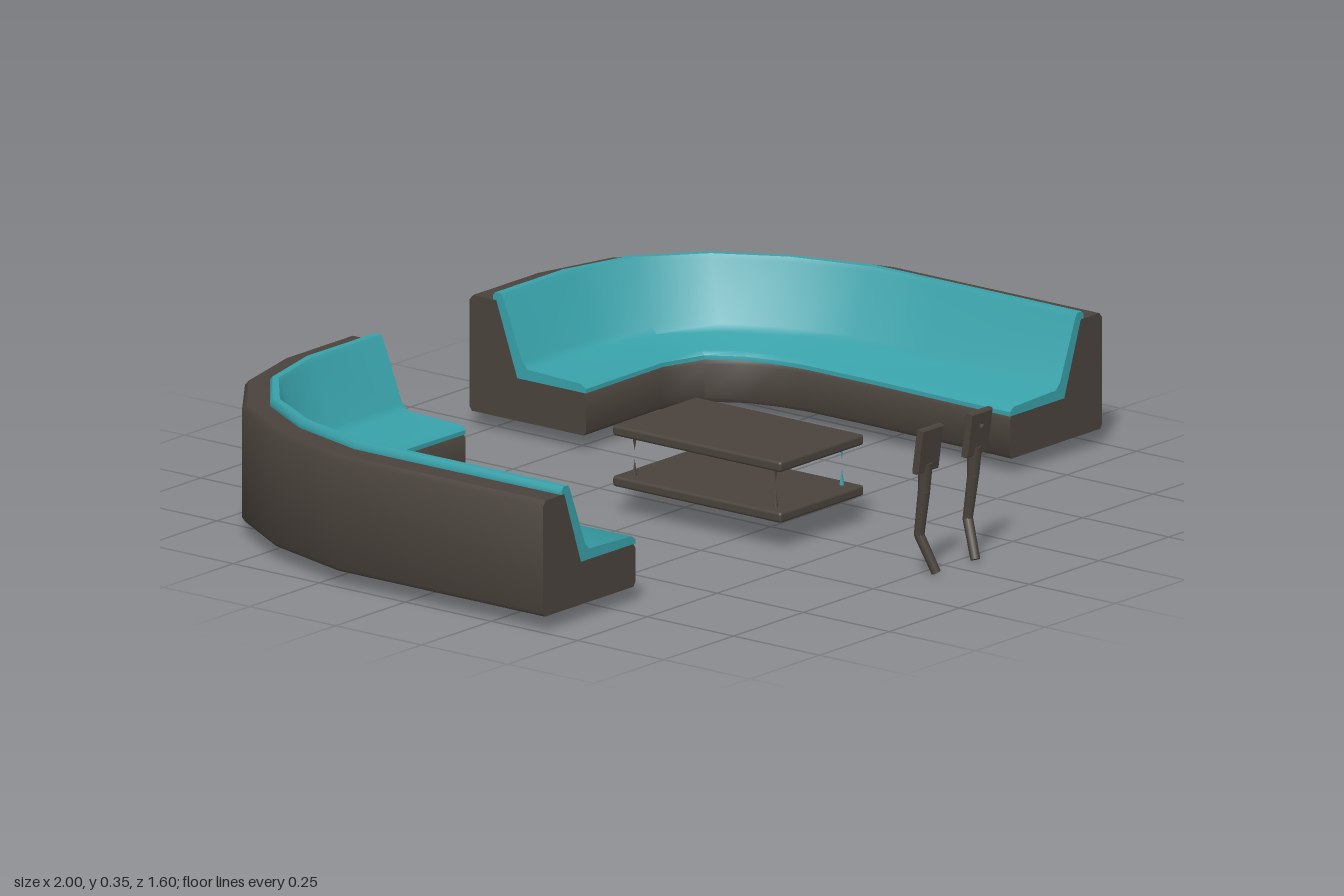
import * as THREE from 'three';
import { toCreasedNormals } from 'three/addons/utils/BufferGeometryUtils.js';
import { RoundedBoxGeometry } from 'three/addons/geometries/RoundedBoxGeometry.js';

const brown = new THREE.MeshStandardMaterial({ color: 0x4a433c });
brown.name = 'dark brown';
const teal = new THREE.MeshStandardMaterial({ color: 0x38a0a8 });
teal.name = 'teal upholstery';

// Plan of the sofa from the back end to the front end: [outer x, outer z, inner x, inner z]
const plan = [
  [0.215, -0.80, 0.215, -0.462], [0.45, -0.80, 0.49, -0.465], [0.65, -0.75, 0.60, -0.43],
  [0.815, -0.625, 0.65, -0.35], [0.93, -0.44, 0.672, -0.27], [1.0, -0.20, 0.68, -0.20],
  [1.0, 0.0, 0.68, 0.0], [1.0, 0.40, 0.67, 0.40],
];

// Cross-sections: [fraction from outer to inner edge, height]
const bodyProfile = [
  [0.02, 0.04], [0, 0.05], [0, 0.30], [0.03, 0.312], [0.2, 0.312], [0.23, 0.312],
  [0.41, 0.14], [0.98, 0.14], [1, 0.13], [1, 0.05], [0.98, 0.04],
];
const cushionProfile = [
  [0.2, 0.312], [0.2, 0.322], [0.22, 0.33], [0.27, 0.33], [0.29, 0.32], [0.455, 0.18],
  [0.5, 0.165], [0.96, 0.16], [1, 0.15], [1, 0.14], [0.41, 0.14], [0.23, 0.312],
];

// Sweeps a cross-section along the plan and caps both ends; side -1 mirrors it
function sweep(profile, side) {
  const pos = [], index = [], n = profile.length, last = (plan.length - 1) * n;
  for (const [ox, oz, ix, iz] of plan) {
    for (const [t, y] of profile) pos.push(side * (ox + (ix - ox) * t), y, oz + (iz - oz) * t);
  }
  const tri = (a, b, c) => (side > 0 ? index.push(a, b, c) : index.push(a, c, b));
  for (let i = 0; i < plan.length - 1; i++) {
    for (let j = 0; j < n; j++) {
      const a = i * n + j, b = i * n + (j + 1) % n;
      tri(a, b, a + n);
      tri(b, b + n, a + n);
    }
  }
  const contour = profile.map(([t, y]) => new THREE.Vector2(-t, y));
  for (const [a, b, c] of THREE.ShapeUtils.triangulateShape(contour, [])) {
    tri(last + a, last + b, last + c);
    tri(a, c, b);
  }
  const g = new THREE.BufferGeometry();
  g.setAttribute('position', new THREE.Float32BufferAttribute(pos, 3));
  g.setIndex(index);
  return toCreasedNormals(g, 0.85);
}

function add(parent, name, geometry, material, x = 0, y = 0, z = 0) {
  const mesh = new THREE.Mesh(geometry, material);
  mesh.name = name;
  mesh.position.set(x, y, z);
  parent.add(mesh);
  return mesh;
}

// Round bar between two points
function addBar(parent, name, from, to, r0, r1) {
  const a = new THREE.Vector3(...from), b = new THREE.Vector3(...to);
  const dir = b.clone().sub(a);
  const bar = add(parent, name, new THREE.CylinderGeometry(r1, r0, dir.length(), 8), brown);
  bar.position.copy(a).add(b).multiplyScalar(0.5);
  bar.quaternion.setFromUnitVectors(new THREE.Vector3(0, 1, 0), dir.normalize());
}

function createSofa(side) {
  const sofa = new THREE.Group();
  sofa.name = side > 0 ? 'leftSofa' : 'rightSofa';
  add(sofa, 'sofaBody', sweep(bodyProfile, side), brown);
  add(sofa, 'sofaCushion', sweep(cushionProfile, side), teal);
  return sofa;
}

function createTable() {
  const table = new THREE.Group();
  table.name = 'table';
  for (const [name, y] of [['tableTop', 0.202], ['tableShelf', 0.083]]) {
    add(table, name, new RoundedBoxGeometry(0.3, 0.025, 0.49, 2, 0.007), brown, 0, y, 0.155);
  }
  // Small pointed pegs on the shelf and under the top
  for (const side of [-1, 1]) {
    for (const z of [-0.05, 0.36]) {
      const colour = side > 0 ? teal : brown;
      add(table, 'shelfPeg', new THREE.ConeGeometry(0.006, 0.04, 6), colour, side * 0.118, 0.114, z);
      const peg = add(table, 'topPeg', new THREE.ConeGeometry(0.006, 0.036, 6), colour, side * 0.118, 0.173, z);
      peg.rotation.x = Math.PI;
    }
  }
  return table;
}

function createPaddle(side) {
  const paddle = new THREE.Group();
  paddle.name = side > 0 ? 'leftPaddle' : 'rightPaddle';
  const x = side * 0.088;
  // Flat head, with a small hole in one of them
  const shape = new THREE.Shape([[-0.036, -0.05], [0.036, -0.05], [0.036, 0.05], [-0.036, 0.05]]
    .map(([u, v]) => new THREE.Vector2(u, v)));
  if (side > 0) shape.holes.push(new THREE.Path().absarc(0.002, 0.02, 0.008, 0, Math.PI * 2, true));
  const headGeometry = new THREE.ExtrudeGeometry(shape, {
    depth: 0.012, bevelThickness: 0.003, bevelSize: 0.003, bevelSegments: 1, curveSegments: 4,
  });
  headGeometry.translate(0, 0, -0.006);
  const head = add(paddle, 'paddleHead', headGeometry, brown, x, 0.301, 0.777);
  head.rotation.x = 0.14;
  // Bent handle
  const points = [[x, 0.268, 0.77], [x, 0.2, 0.766], [side * 0.087, 0.095, 0.751], [side * 0.07, 0.008, 0.787]];
  const radii = [0.017, 0.014, 0.012, 0.011];
  for (let i = 0; i < 3; i++) addBar(paddle, 'paddleHandle', points[i], points[i + 1], radii[i], radii[i + 1]);
  add(paddle, 'handleBend', new THREE.SphereGeometry(0.012, 8, 6), brown, ...points[2]);
  return paddle;
}

export function createModel() {
  const model = new THREE.Group();
  model.name = 'loungeSet';
  for (const side of [-1, 1]) model.add(createSofa(side), createPaddle(side));
  model.add(createTable());
  return model;
}
